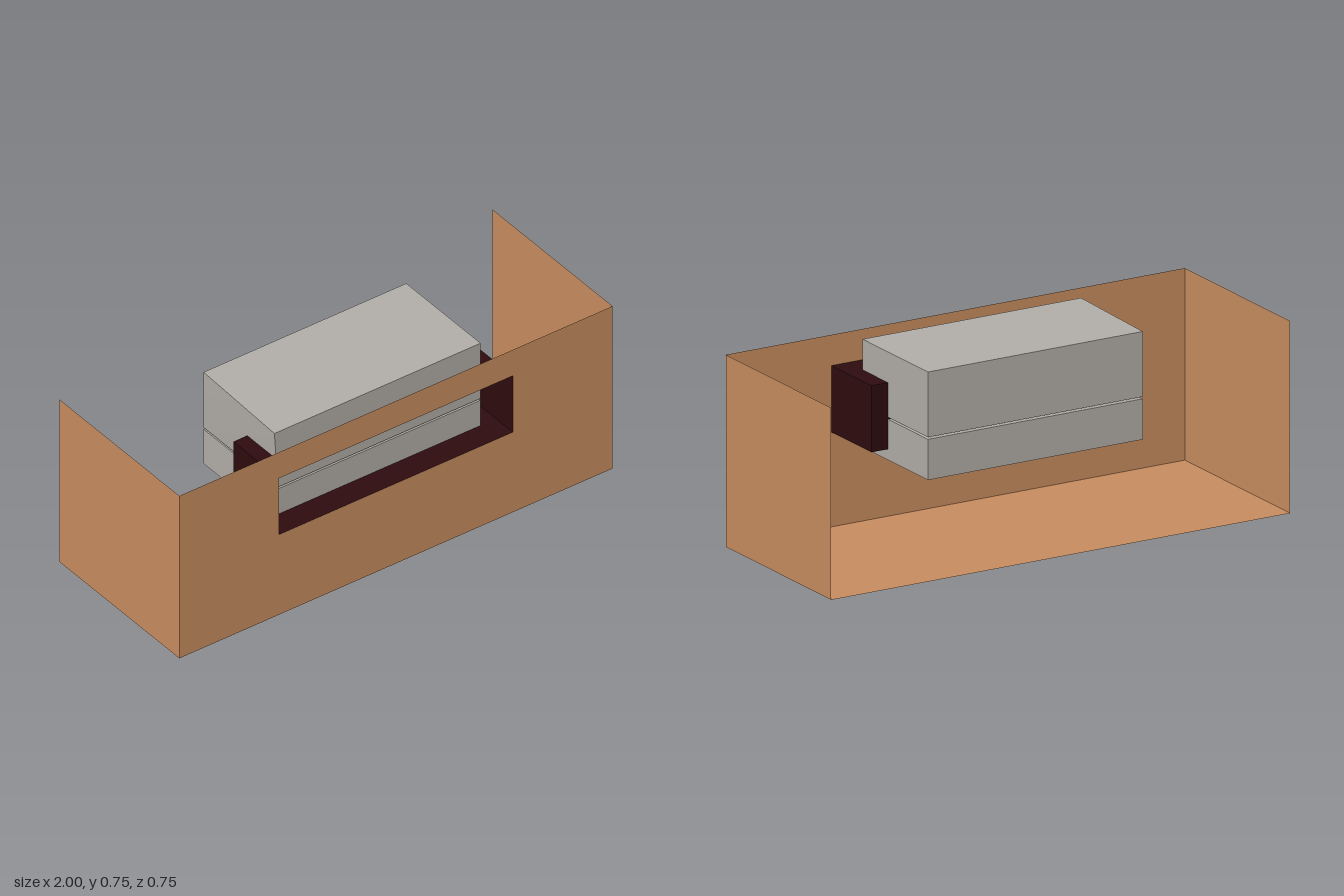
import * as THREE from 'three';

const W = 1, D = 0.375, H = 0.75; // half width, half depth, height of the housing
const slot = { x: 0.54, y0: 0.37, y1: 0.63, zBack: 0.09 };

export function createModel() {
  const group = new THREE.Group();
  const tan = new THREE.MeshStandardMaterial({ name: 'tan', color: 0xc88d5f, side: THREE.DoubleSide });
  const gray = new THREE.MeshStandardMaterial({ name: 'gray', color: 0xb2aea8 });
  const maroon = new THREE.MeshStandardMaterial({ name: 'maroon', color: 0x2e0c0e, side: THREE.DoubleSide });

  function add(name, geometry, material, x, y, z) {
    const mesh = new THREE.Mesh(geometry, material);
    mesh.name = name;
    mesh.position.set(x, y, z);
    group.add(mesh);
    return mesh;
  }

  // Front panel: a thin sheet with the slot cut out
  const panel = new THREE.Shape([
    new THREE.Vector2(-W, 0), new THREE.Vector2(W, 0),
    new THREE.Vector2(W, H), new THREE.Vector2(-W, H),
  ]);
  panel.holes.push(new THREE.Path([
    new THREE.Vector2(-slot.x, slot.y0), new THREE.Vector2(-slot.x, slot.y1),
    new THREE.Vector2(slot.x, slot.y1), new THREE.Vector2(slot.x, slot.y0),
  ]));
  add('frontPanel', new THREE.ShapeGeometry(panel), tan, 0, 0, D);

  // Floor and side walls; the back and top stay open
  add('floor', new THREE.PlaneGeometry(2 * W, 2 * D).rotateX(Math.PI / 2), tan, 0, 0, 0);
  for (const side of [-1, 1]) {
    const wall = new THREE.PlaneGeometry(2 * D, H).rotateY(side * Math.PI / 2);
    add(side > 0 ? 'leftWall' : 'rightWall', wall, tan, side * W, H / 2, 0);
  }

  // Recess behind the slot: a box without its front face
  const recess = new THREE.BoxGeometry(2 * slot.x, slot.y1 - slot.y0, D - slot.zBack);
  const index = Array.from(recess.index.array);
  index.splice(24, 6);
  recess.setIndex(index);
  recess.clearGroups();
  add('slotRecess', recess, maroon, 0, (slot.y0 + slot.y1) / 2, (D + slot.zBack) / 2);

  // Two stacked blocks with a narrow gap between them
  function block(name, y0, y1, skew) {
    const geometry = new THREE.BoxGeometry(0.936, y1 - y0, 0.465);
    const p = geometry.attributes.position;
    // The upper front corner leans slightly outward
    for (let i = 0; i < p.count; i++) {
      if (p.getX(i) < 0 && p.getY(i) > 0 && p.getZ(i) > 0) p.setX(i, p.getX(i) - skew);
    }
    geometry.computeVertexNormals();
    add(name, geometry, gray, 0, (y0 + y1) / 2, 0.038);
  }
  block('lowerBlock', 0.328, 0.487, 0);
  block('upperBlock', 0.495, 0.75, 0.016);

  return group;
}
